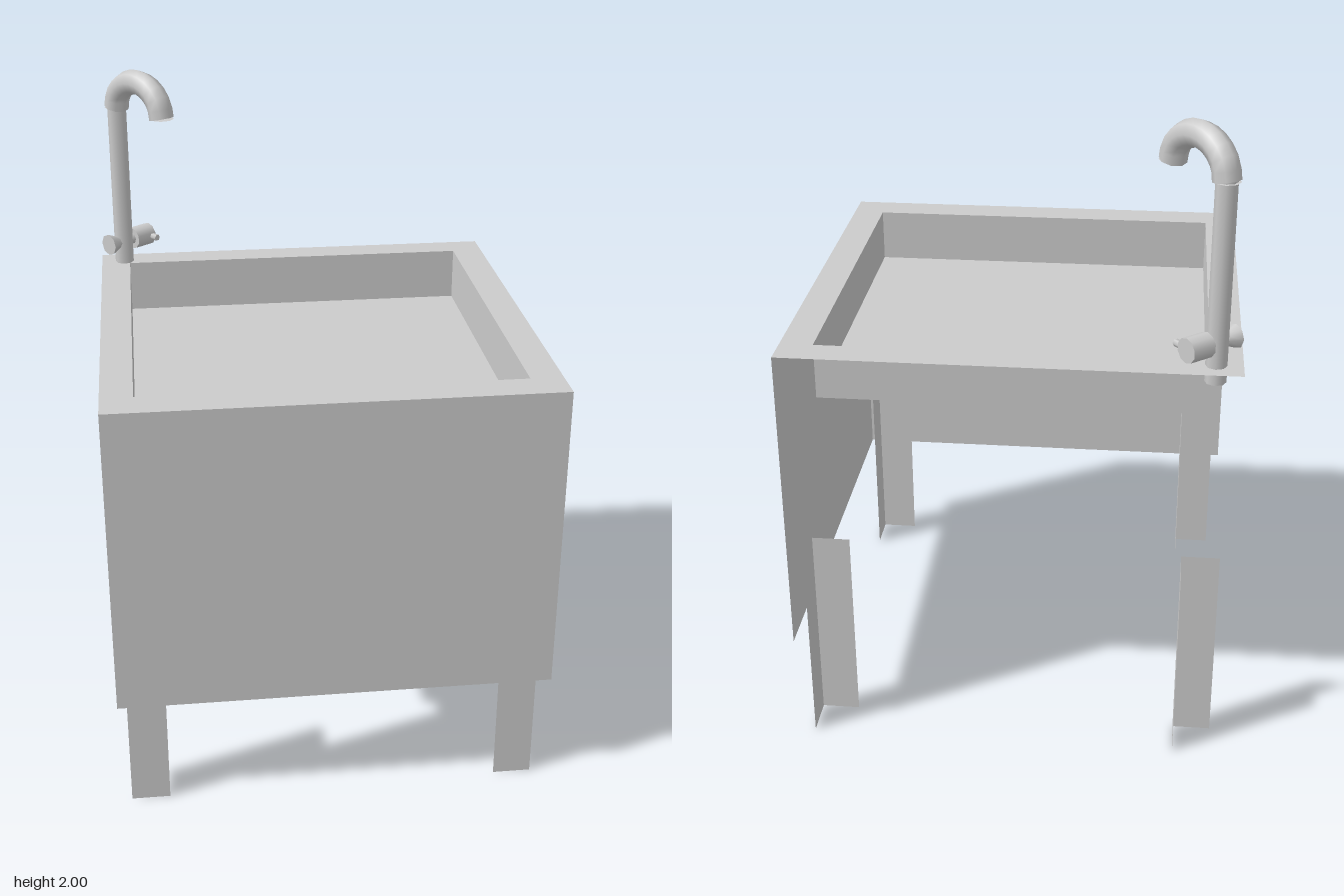
import * as THREE from 'three';

const sheet = new THREE.MeshStandardMaterial({ color: 0xcccccc, side: THREE.DoubleSide });

export function createModel() {
  const model = new THREE.Group();
  const add = (parent, name, geometry, x = 0, y = 0, z = 0) => {
    const mesh = new THREE.Mesh(geometry, sheet);
    mesh.name = name;
    mesh.position.set(x, y, z);
    parent.add(mesh);
    return mesh;
  };
  // upright sheets: one facing z, one facing x
  const sheetZ = (name, x0, x1, y0, y1, z, parent = model) =>
    add(parent, name, new THREE.PlaneGeometry(x1 - x0, y1 - y0), (x0 + x1) / 2, (y0 + y1) / 2, z);
  const sheetX = (name, z0, z1, y0, y1, x, parent = model) =>
    add(parent, name, new THREE.PlaneGeometry(z1 - z0, y1 - y0).rotateY(Math.PI / 2), x, (y0 + y1) / 2, (z0 + z1) / 2);

  const top = 1.325, floorY = 1.157;
  const outer = { x0: -0.66, x1: 0.66, z0: -0.645, z1: 0.675 };
  const inner = { x0: -0.565, x1: 0.562, z0: -0.55, z1: 0.57 };

  // cabinet panels on the front and one side; the other two sides are open
  sheetZ('frontPanel', outer.x0, outer.x1, 0.36, top, outer.z1);
  sheetX('sidePanel', outer.z0, outer.z1, 0.36, top, outer.x1);

  // flat rim with the basin opening
  const corners = (r) => [[r.x0, -r.z1], [r.x1, -r.z1], [r.x1, -r.z0], [r.x0, -r.z0]].map(([x, y]) => new THREE.Vector2(x, y));
  const rim = new THREE.Shape(corners(outer));
  rim.holes.push(new THREE.Path(corners(inner).reverse()));
  add(model, 'rim', new THREE.ShapeGeometry(rim).rotateX(-Math.PI / 2), 0, top, 0);

  // basin
  const basin = new THREE.Group();
  basin.name = 'basin';
  model.add(basin);
  for (const z of [inner.z0, inner.z1]) sheetZ('basinWall', inner.x0, inner.x1, floorY, top, z, basin);
  for (const x of [inner.x0, inner.x1]) sheetX('basinWall', inner.z0, inner.z1, floorY, top, x, basin);
  add(basin, 'basinFloor', new THREE.ShapeGeometry(new THREE.Shape(corners(inner))).rotateX(-Math.PI / 2), 0, floorY, 0);

  // angle-section legs, all turned the same way
  for (const x of [-0.515, 0.62]) {
    for (const z of [-0.49, 0.645]) {
      const leg = new THREE.Group();
      leg.name = 'leg';
      model.add(leg);
      sheetZ('legFront', x - 0.117, x, 0, 0.64, z, leg);
      sheetX('legSide', z - 0.12, z, 0, 0.64, x, leg);
    }
  }

  // tap in the back corner; its local +x points along the spout
  const tap = new THREE.Group();
  tap.name = 'tap';
  tap.position.set(-0.583, 0, -0.577);
  tap.rotation.y = -0.877;
  model.add(tap);
  add(tap, 'stem', new THREE.CylinderGeometry(0.031, 0.031, 0.6, 8), 0, 1.575, 0);

  const reach = 0.224, spoutY = 1.86, spoutRadius = 0.04;
  const arc = [];
  for (let i = 0; i <= 8; i++) {
    const a = Math.PI * (1 - i / 8);
    arc.push(new THREE.Vector3(reach / 2 * (1 + Math.cos(a)), spoutY + 0.1 * Math.sin(a), 0));
  }
  add(tap, 'spout', new THREE.TubeGeometry(new THREE.CatmullRomCurve3(arc), 12, spoutRadius, 8));
  for (const x of [0, reach]) add(tap, 'spoutEnd', new THREE.CircleGeometry(spoutRadius, 8).rotateX(Math.PI / 2), x, spoutY, 0);

  // valve across the stem: knob on one side, flared plug on the other, small lever
  const valveY = 1.398;
  add(tap, 'valveBar', new THREE.CylinderGeometry(0.02, 0.02, 0.1, 8).rotateX(Math.PI / 2), 0, valveY, 0);
  add(tap, 'valveKnob', new THREE.CylinderGeometry(0.037, 0.037, 0.075, 10).rotateX(Math.PI / 2), 0, valveY, -0.075);
  add(tap, 'valvePlug', new THREE.CylinderGeometry(0.036, 0.02, 0.04, 8).rotateX(Math.PI / 2), 0, valveY, 0.045);
  add(tap, 'lever', new THREE.CylinderGeometry(0.011, 0.011, 0.06, 6).rotateZ(Math.PI / 2), 0.03, valveY, -0.1);

  return model;
}
